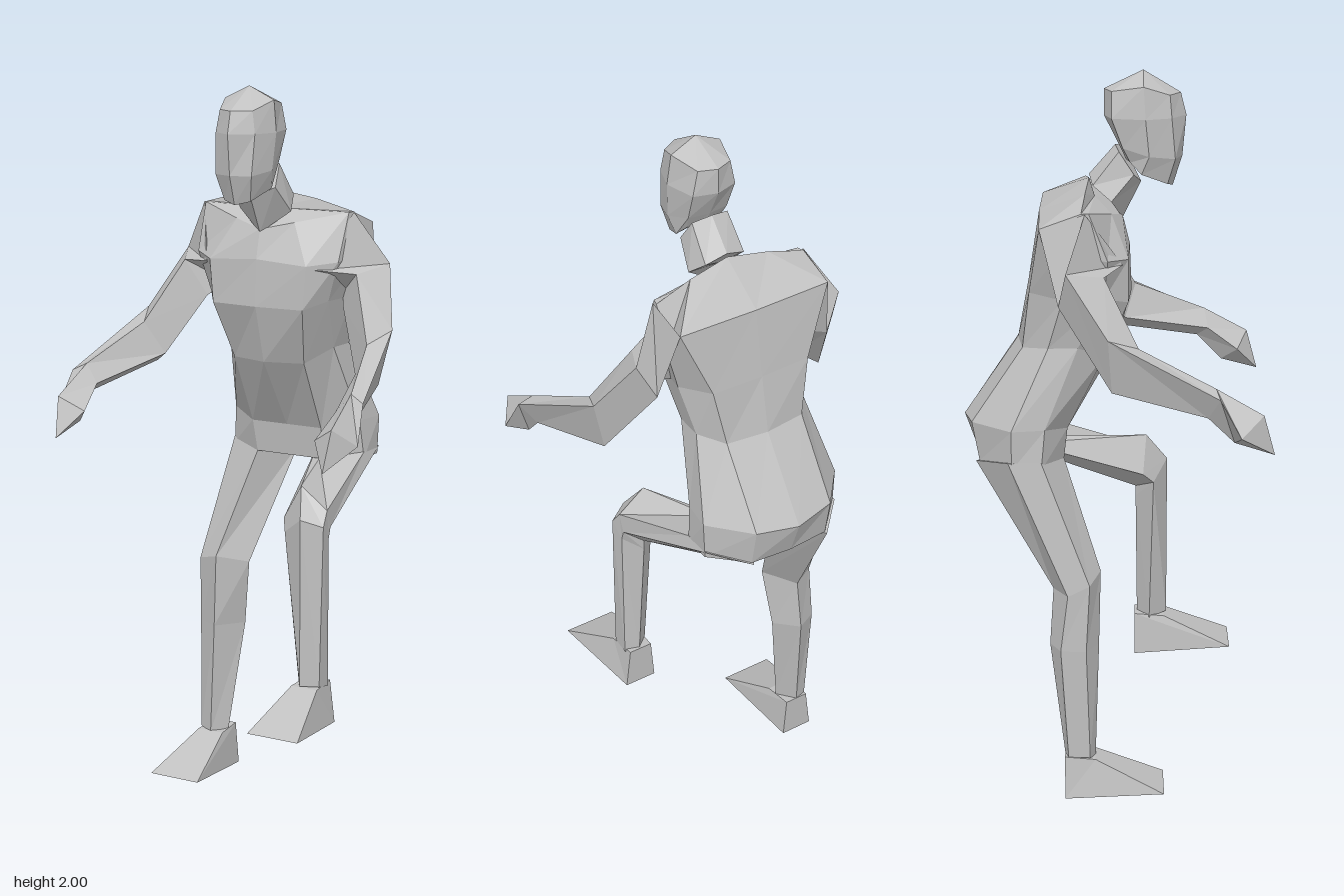
import * as THREE from 'three';

const skin = new THREE.MeshStandardMaterial({ color: 0xc0c0c0 });
skin.name = 'plain grey';

const mirrorX = ([x, y, z]) => [-x, y, z];
const flip = (rings) => rings.map((r) => r.map(mirrorX));
const move = (rings, dy, dz) => rings.map((r) => r.map(([x, y, z]) => [x, y + dy, z + dz]));
// half ring from front centre to back centre, completed by mirroring
const whole = (half) => [...half, ...half.slice(1, -1).reverse().map(mirrorX)];

// faceted skin through a list of rings; tips close the ends (default: ring centre)
function loft(name, rings, tip) {
  const tris = [];
  const n = rings[0].length;
  const centre = (r) => [0, 1, 2].map((k) => r.reduce((s, p) => s + p[k], 0) / n);
  const first = rings[0], last = rings[rings.length - 1];
  const start = centre(first), end = tip || centre(last);
  for (let j = 0; j < n; j++) {
    const k = (j + 1) % n;
    for (let i = 0; i + 1 < rings.length; i++) {
      const a = rings[i][j], b = rings[i][k], c = rings[i + 1][k], d = rings[i + 1][j];
      tris.push([a, b, c], [a, c, d]);
    }
    tris.push([start, first[k], first[j]], [end, last[j], last[k]]);
  }
  // turn every face outwards
  const v = tris.map((t) => t.map((p) => new THREE.Vector3(...p)));
  const volume = v.reduce((s, [a, b, c]) => s + a.dot(b.clone().cross(c)), 0);
  if (volume < 0) v.forEach((t) => t.reverse());
  const geo = new THREE.BufferGeometry().setFromPoints(v.flat());
  geo.computeVertexNormals();
  const mesh = new THREE.Mesh(geo, skin);
  mesh.name = name;
  return mesh;
}

export function createModel() {
  const model = new THREE.Group();
  model.name = 'figure';

  // torso, hips to shoulders
  model.add(loft('torso', [
    [[0, .95, -.14], [.1, .95, -.14], [.21, .95, -.2], [.21, .95, -.28], [.12, .95, -.37], [0, .95, -.38]],
    [[0, 1.04, -.13], [.11, 1.04, -.13], [.2, 1.06, -.19], [.215, 1.06, -.28], [.12, 1.06, -.39], [0, 1.05, -.415]],
    [[0, 1.24, 0], [.11, 1.24, -.03], [.165, 1.28, -.1], [.17, 1.28, -.18], [.12, 1.27, -.25], [0, 1.27, -.265]],
    [[0, 1.4, .045], [.14, 1.4, .035], [.185, 1.42, -.03], [.2, 1.42, -.14], [.15, 1.43, -.23], [0, 1.43, -.235]],
    [[0, 1.53, .04], [.15, 1.52, .035], [.22, 1.53, -.02], [.24, 1.55, -.15], [.23, 1.62, -.2], [0, 1.62, -.205]],
    [[0, 1.61, .02], [.09, 1.63, -.01], [.225, 1.66, -.07], [.23, 1.66, -.09], [.12, 1.69, -.08], [0, 1.71, -.07]],
  ].map(whole)));

  // neck
  model.add(loft('neck', [
    [[0, 1.6, .02], [.08, 1.66, -.01], [.06, 1.7, -.06], [0, 1.72, -.07]],
    [[0, 1.7, .07], [.065, 1.73, .05], [.055, 1.79, .01], [0, 1.8, 0]],
  ].map(whole)));

  // head, chin to crown
  model.add(loft('head', [
    [[0, 1.69, .155], [.04, 1.7, .14], [.065, 1.73, .07], [.05, 1.76, .04], [0, 1.76, .03]],
    [[0, 1.77, .18], [.055, 1.77, .16], [.078, 1.78, .09], [.06, 1.8, .02], [0, 1.8, .01]],
    [[0, 1.88, .19], [.06, 1.88, .15], [.085, 1.88, .08], [.065, 1.88, -.01], [0, 1.88, -.03]],
    [[0, 1.94, .175], [.05, 1.94, .145], [.075, 1.965, .075], [.05, 1.95, -.01], [0, 1.95, -.03]],
  ].map(whole), [0, 2, .075]));

  // arms: front, outer, back, inner corners from shoulder to hand
  const arm = [
    [[.17, 1.51, .02], [.235, 1.66, -.08], [.23, 1.62, -.2], [.18, 1.43, -.12]],
    [[.27, 1.5, -.03], [.32, 1.52, -.13], [.27, 1.42, -.15], [.215, 1.4, -.06]],
    [[.35, 1.33, .06], [.385, 1.36, -.02], [.35, 1.21, -.01], [.3, 1.24, .03]],
    [[.41, 1.24, .26], [.45, 1.22, .27], [.41, 1.16, .24], [.37, 1.19, .27]],
    [[.42, 1.17, .385], [.465, 1.12, .325], [.4, 1.09, .31], [.355, 1.13, .355]],
  ];
  const fingertip = [.41, 1.06, .415];
  model.add(loft('leftArm', arm, fingertip));
  model.add(loft('rightArm', flip(arm), mirrorX(fingertip)));

  // legs: front, outer, outer back, back, inner corners
  const hip = [[.1, .95, -.14], [.21, .97, -.2], [.21, .97, -.29], [.12, .95, -.38], [.03, .95, -.25]];
  const standing = [
    hip,
    [[.18, .65, -.04], [.25, .63, -.07], [.25, .6, -.13], [.18, .6, -.17], [.105, .63, -.1]],
    [[.19, .44, -.045], [.255, .44, -.08], [.25, .44, -.15], [.19, .44, -.18], [.13, .44, -.12]],
    [[.21, .11, -.055], [.25, .12, -.07], [.245, .12, -.13], [.21, .12, -.14], [.17, .12, -.09]],
  ];
  const raised = [
    hip,
    [[.17, .93, .09], [.25, .87, .09], [.25, .82, .07], [.19, .77, .06], [.11, .83, .08]],
    [[.2, .85, .15], [.255, .83, .12], [.25, .79, .08], [.19, .74, .06], [.13, .8, .11]],
    [[.2, .38, .15], [.25, .38, .13], [.25, .37, .08], [.21, .37, .065], [.17, .37, .1]],
  ];
  model.add(loft('rightLeg', flip(standing)));
  model.add(loft('leftLeg', raised));

  // wedge feet
  const foot = [
    [[.17, .115, -.055], [.25, .115, -.055], [.245, .12, -.14], [.175, .12, -.14]],
    [[.14, .03, .135], [.295, .03, .135], [.26, 0, -.14], [.165, 0, -.14]],
  ];
  model.add(loft('rightFoot', flip(foot)));
  model.add(loft('leftFoot', move(foot, .26, .198)));

  return model;
}
